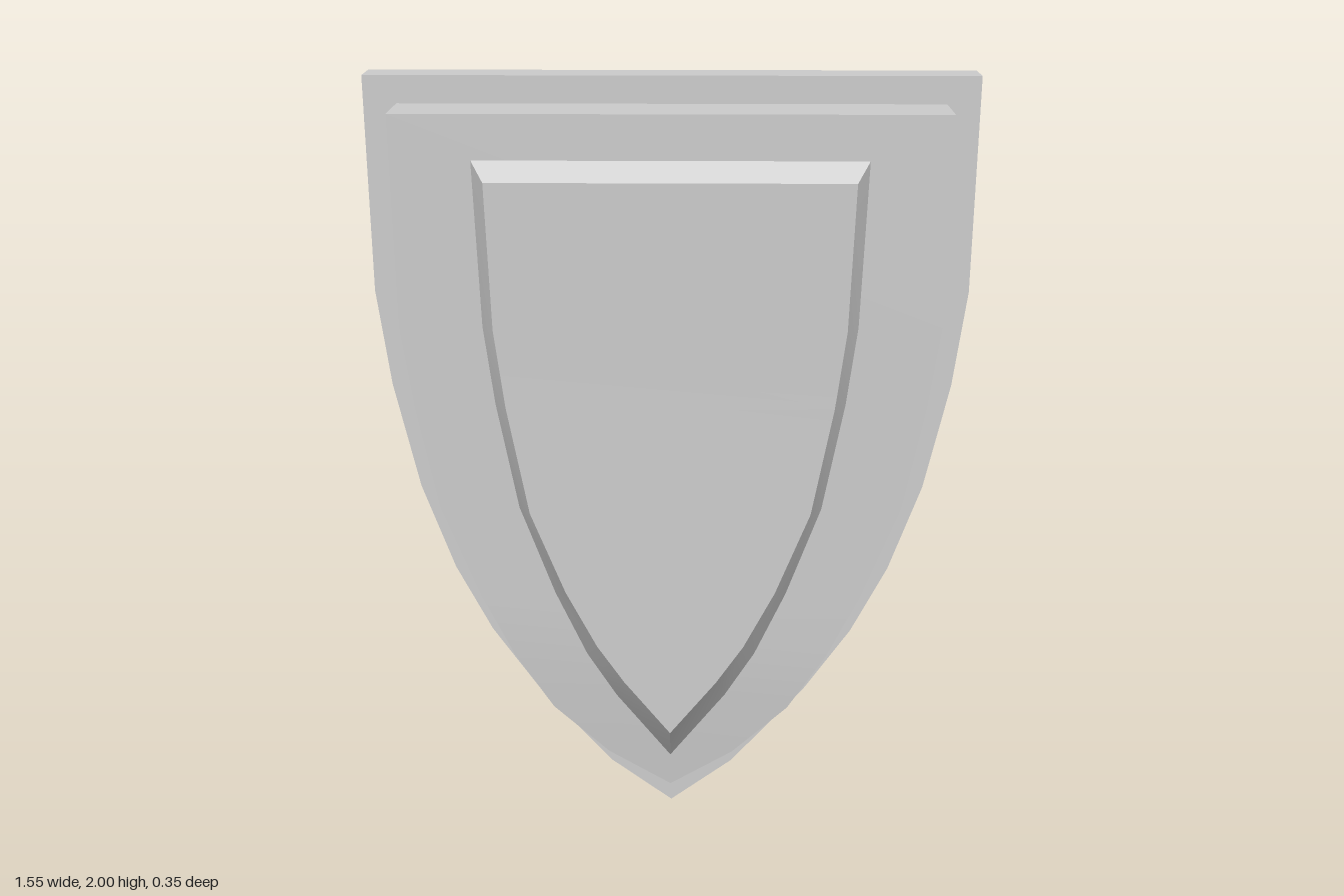
import * as THREE from 'three';
import { toCreasedNormals } from 'three/addons/utils/BufferGeometryUtils.js';

// Half outlines [x, y] from the top corner down to the tip
const OUTER = [[0.775, 2], [0.765, 1.45], [0.73, 1.2], [0.665, 0.92], [0.58, 0.69], [0.485, 0.51], [0.36, 0.335], [0.165, 0.12], [0, 0]];
const MIDDLE = [[0.69, 1.93], [0.68, 1.4], [0.65, 1.2], [0.592, 0.92], [0.495, 0.68], [0.41, 0.51], [0.31, 0.355], [0.165, 0.22], [0, 0.12]];
const INNER_BASE = [[0.49, 1.82], [0.472, 1.4], [0.445, 1.2], [0.39, 0.92], [0.3, 0.68], [0.22, 0.51], [0.145, 0.39], [0, 0.205]];
const INNER_FACE = [[0.455, 1.77], [0.44, 1.4], [0.413, 1.2], [0.358, 0.92], [0.27, 0.705], [0.19, 0.555], [0.12, 0.455], [0, 0.31]];

// Mirror a half outline into a closed ring, with depth given by z(y)
function ring(half, z) {
  const left = half.slice(0, -1).reverse().map(([x, y]) => [-x, y]);
  return [...half, ...left].map(([x, y]) => [x, y, z(y)]);
}

// Solid between a back ring and a front ring, capped at both ends
function slab(name, back, front, material) {
  const n = back.length;
  const rows = (n + 1) / 2;
  const pos = [];
  const tri = (...pts) => pts.forEach((p) => pos.push(...p));
  const quad = (a, b, c, d) => { tri(a, b, c); tri(a, c, d); };
  for (let i = 0; i < n; i++) {
    const j = (i + 1) % n;
    quad(front[i], front[j], back[j], back[i]);
  }
  for (let k = 0; k < rows - 1; k++) {
    const l = n - 1 - k;
    if (k === rows - 2) {
      tri(front[l], front[k + 1], front[k]);
      tri(back[k], back[k + 1], back[l]);
    } else {
      quad(front[l], front[l - 1], front[k + 1], front[k]);
      quad(back[k], back[k + 1], back[l - 1], back[l]);
    }
  }
  const geometry = new THREE.BufferGeometry();
  geometry.setAttribute('position', new THREE.Float32BufferAttribute(pos, 3));
  const mesh = new THREE.Mesh(toCreasedNormals(geometry, 0.5), material);
  mesh.name = name;
  return mesh;
}

export function createModel() {
  const group = new THREE.Group();
  group.name = 'shield';
  const grey = new THREE.MeshStandardMaterial({ color: 0xcccccc });

  // Faces are very slightly bowed along the height
  const backZ = (y) => -0.167 - 0.007 * Math.sin((Math.PI * y) / 2);
  const middleZ = (y) => 0.133 - 0.01 * Math.min(1, (1.93 - y) / 1.4) - 0.033 * Math.max(0, (0.5 - y) / 0.38);
  const faceZ = (y) => 0.178 - 0.005 * Math.sin((Math.PI * (y - 0.31)) / 1.46);

  group.add(
    slab('backPlate', ring(OUTER, backZ), ring(OUTER, () => -0.053), grey),
    slab('middlePlate', ring(MIDDLE, () => -0.06), ring(MIDDLE, middleZ), grey),
    // Bevelled panel raised from the middle plate
    slab('frontPanel', ring(INNER_BASE, (y) => middleZ(y) - 0.003), ring(INNER_FACE, faceZ), grey)
  );
  return group;
}
